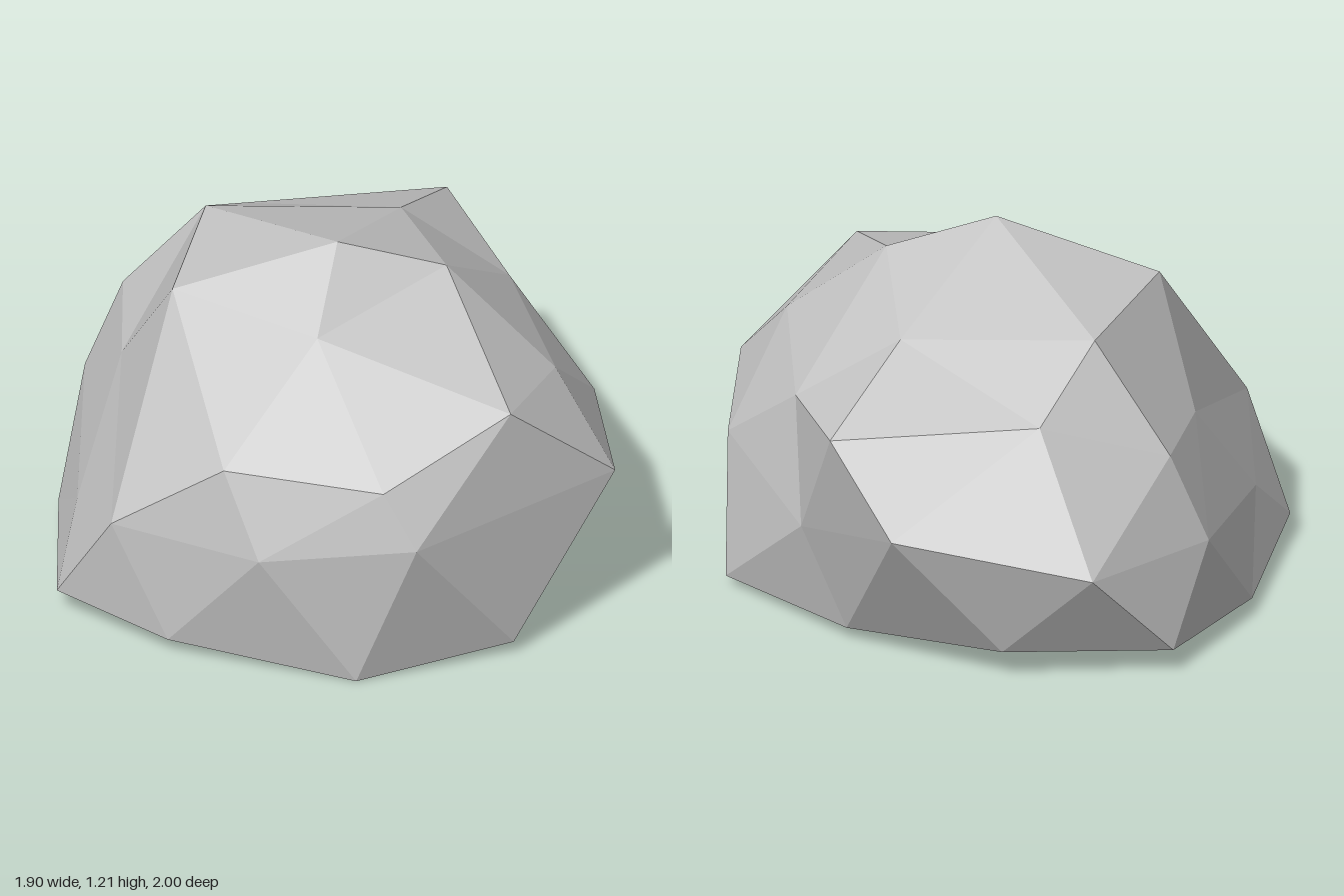
import * as THREE from 'three';

// Cross-sections of the boulder from peak to underside, each running from +x round through +z
const peak = [[0, 1.205, 0.17]];
const crown = [
  [0.345, 1.09, 0.065], [-0.015, 1.015, 0.485], [-0.53, 1.04, 0.28],
  [-0.515, 1.03, -0.3], [0.11, 1.0, -0.445],
];
const leftCorner = [-0.65, 0.43, 0.79]; // long facets meet here, so two sections share it
const shoulder = [
  [0.72, 0.785, 0.145], [0.65, 0.867, 0.62], [0.28, 0.71, 0.94], [-0.255, 0.735, 0.915], leftCorner,
  [-0.735, 0.66, 0.06], [-0.8, 0.685, -0.36], [-0.45, 0.85, -0.65], [0.185, 0.82, -0.915], [0.465, 0.76, -0.475],
];
const belly = [
  [0.95, 0.525, 0.335], [0.395, 0.52, 0.97], [-0.125, 0.45, 1.0], leftCorner, [-0.83, 0.28, 0.38],
  [-0.92, 0.385, -0.32], [-0.7, 0.41, -0.83], [-0.06, 0.525, -1.0], [0.375, 0.385, -0.67], [0.785, 0.49, -0.245],
];
const foot = [
  [0.67, 0.045, 0.68], [0.19, 0, 0.945], [-0.45, 0.05, 0.86], [-0.855, 0.075, 0.64], [-0.955, 0.05, 0],
  [-0.88, 0.08, -0.55], [-0.37, 0.095, -0.79], [0.22, 0.04, -0.66], [0.745, 0.03, -0.375], [0.71, 0.04, 0.1],
];
const underside = [[0.39, 0, 0.34], [-0.12, 0, 0.6], [-0.54, 0, 0.1], [-0.32, 0, -0.48], [0.3, 0, -0.36]];
const baseCentre = [[-0.05, 0, 0.05]];

// Joins two sections with triangles; each step moves on along the upper (u) or lower (l) one
function band(out, upper, lower, steps) {
  let u = 0, l = 0;
  for (const step of steps) {
    const a = upper[u % upper.length], b = lower[l % lower.length];
    const next = step === 'u' ? upper[++u % upper.length] : lower[++l % lower.length];
    if (a !== b && next !== a && next !== b) out.push(...a, ...next, ...b);
  }
}

export function createModel() {
  const stone = new THREE.MeshStandardMaterial({ color: 0xc7c7c7, flatShading: true });
  stone.name = 'stone grey';

  const corners = [];
  band(corners, peak, crown, 'l'.repeat(5));
  band(corners, crown, shoulder, 'lul'.repeat(5));
  band(corners, shoulder, belly, 'ul'.repeat(10));
  band(corners, belly, foot, 'ul'.repeat(10));
  band(corners, foot, underside, 'ulu'.repeat(5));
  band(corners, underside, baseCentre, 'u'.repeat(5));

  const geometry = new THREE.BufferGeometry();
  geometry.setAttribute('position', new THREE.Float32BufferAttribute(corners, 3));
  geometry.computeVertexNormals();

  const boulder = new THREE.Mesh(geometry, stone);
  boulder.name = 'boulder';
  const group = new THREE.Group();
  group.name = 'rock';
  group.add(boulder);
  return group;
}
